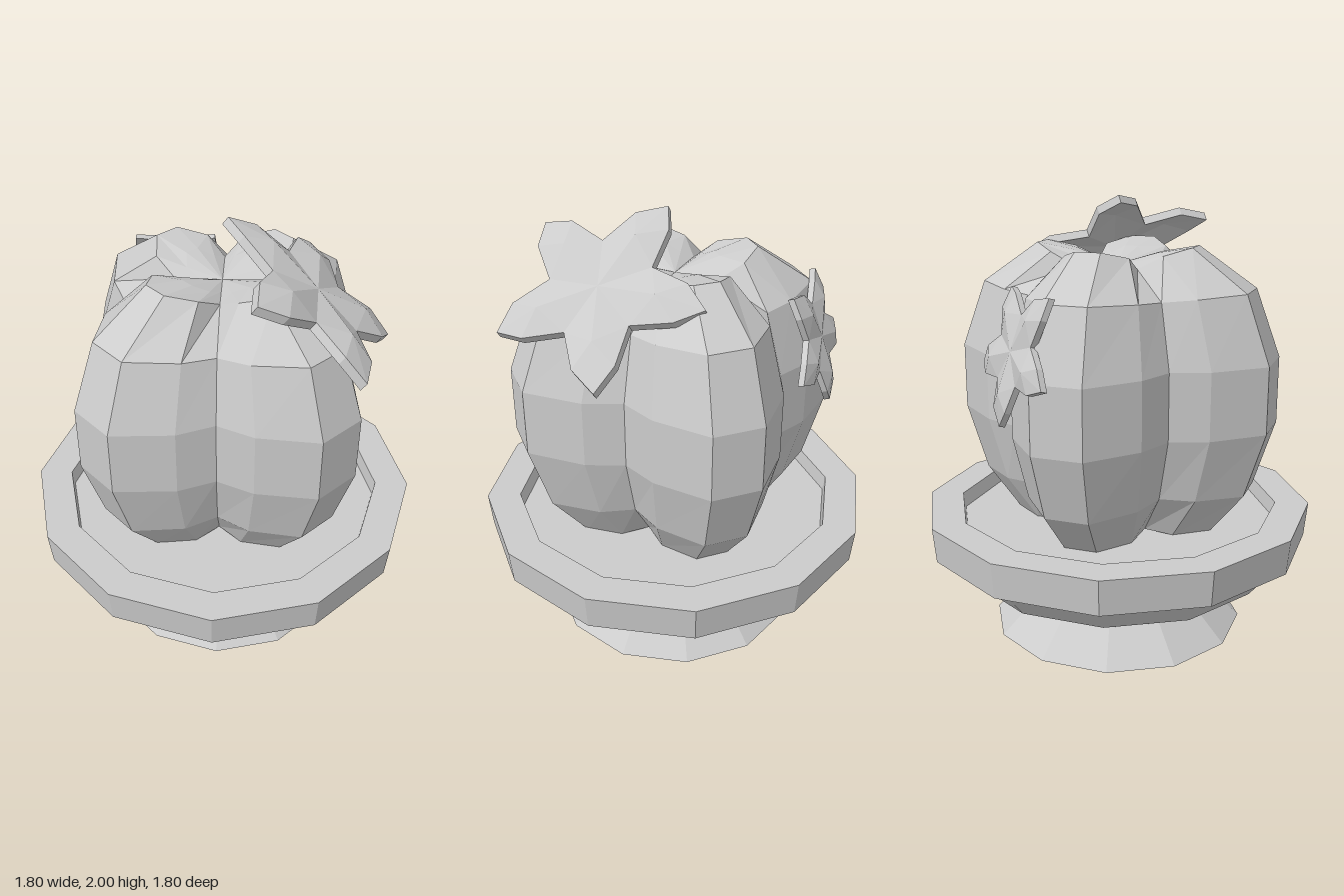
import * as THREE from 'three';

const material = new THREE.MeshStandardMaterial({ color: 0xcccccc, flatShading: true });

function flatMesh(name, geometry) {
  const g = geometry.index ? geometry.toNonIndexed() : geometry;
  g.computeVertexNormals();
  const mesh = new THREE.Mesh(g, material);
  mesh.name = name;
  return mesh;
}

function fromTriangles(points) {
  return new THREE.BufferGeometry().setFromPoints(points);
}

// Twelve-sided pot with flared foot, bowl and overhanging rim
function createPot() {
  const profile = [
    [0, 0], [0.59, 0], [0.44, 0.14], [0.71, 0.285], [0.83, 0.43], [0.885, 0.43],
    [0.9, 0.59], [0.745, 0.59], [0.735, 0.52], [0, 0.52],
  ].map(([r, y]) => new THREE.Vector2(r, y));
  return flatMesh('pot', new THREE.LatheGeometry(profile, 12));
}

// Four-lobed cactus body lofted from scaled cross-sections
function createBody() {
  const quarter = [[0.5, 0], [0.57, 0.16], [0.59, 0.43], [0.43, 0.59], [0.16, 0.57]];
  // height, scale, groove scale, groove height offset, lobe edge height offset
  const rows = [
    [0.5, 0, 0, 0, 0],
    [0.5, 0.64, 0.58, 0.04, 0.02],
    [0.71, 0.87, 0.85, 0.02, 0.01],
    [1.01, 1, 1, 0, 0],
    [1.31, 1, 1, 0, 0],
    [1.61, 0.85, 0.85, -0.02, -0.01],
    [1.79, 0.5, 0.4, -0.09, -0.03],
    [1.76, 0.27, 0.2, -0.06, -0.03],
    [1.7, 0, 0, 0, 0],
  ];
  const rings = rows.map(([y, scale, grooveScale, grooveY, edgeY]) => {
    const ring = [];
    for (let q = 0; q < 4; q++) {
      quarter.forEach(([x, z], i) => {
        const s = i === 0 ? grooveScale : scale;
        const dy = i === 0 ? grooveY : i === 1 || i === 4 ? edgeY : 0;
        ring.push(new THREE.Vector3(x * s, y + dy, z * s)
          .applyAxisAngle(new THREE.Vector3(0, 1, 0), -q * Math.PI / 2));
      });
    }
    return ring;
  });
  const tris = [];
  for (let i = 0; i < rings.length - 1; i++) {
    for (let j = 0; j < 20; j++) {
      const k = (j + 1) % 20;
      const a = rings[i][j], b = rings[i + 1][j], c = rings[i + 1][k], d = rings[i][k];
      if (i < rings.length - 2) tris.push(a, b, d);
      else tris.push(a, b, d);
      if (i > 0 && i < rings.length - 2) tris.push(b, c, d);
      else if (i === 0) tris.push(b, c, d);
    }
  }
  return flatMesh('cactusBody', fromTriangles(tris));
}

// Five-petal flower facing local +z, first petal along +y
function flowerGeometry(thickness) {
  const polar = (r, deg, h) => {
    const a = THREE.MathUtils.degToRad(deg);
    return new THREE.Vector3(r * Math.cos(a), r * Math.sin(a), h);
  };
  const under = (p) => new THREE.Vector3(p.x, p.y, p.z - thickness);
  const tris = [];
  const cap = (a, b, c) => tris.push(a, b, c, under(a), under(c), under(b));
  const centre = new THREE.Vector3(0, 0, 0.04);
  for (let i = 0; i < 5; i++) {
    const deg = 90 + i * 72;
    const ridge = polar(0.26, deg, 0.06);
    const edge = [
      polar(0.23, deg - 36, 0.02), polar(0.37, deg - 14, 0.025), polar(0.46, deg, 0),
      polar(0.37, deg + 14, 0.025), polar(0.23, deg + 36, 0.02),
    ];
    cap(centre, edge[0], ridge);
    cap(centre, ridge, edge[4]);
    for (let j = 0; j < 4; j++) {
      const a = edge[j], b = edge[j + 1];
      cap(ridge, a, b);
      tris.push(a, under(a), b, b, under(a), under(b));
    }
  }
  return fromTriangles(tris);
}

// Places a flower by centre, facing direction and direction of its first petal
function createFlower(name, centre, normal, petal, scale) {
  const mesh = flatMesh(name, flowerGeometry(0.04));
  const z = new THREE.Vector3(...normal).normalize();
  const y = new THREE.Vector3(...petal).projectOnPlane(z).normalize();
  const x = new THREE.Vector3().crossVectors(y, z);
  mesh.quaternion.setFromRotationMatrix(new THREE.Matrix4().makeBasis(x, y, z));
  mesh.position.set(...centre);
  mesh.scale.setScalar(scale);
  return mesh;
}

export function createModel() {
  const model = new THREE.Group();
  model.name = 'pottedCactus';
  model.add(
    createPot(),
    createBody(),
    createFlower('topFlower', [0.37, 1.73, 0.16], [0.61, 0.79, 0], [0, 0, -1], 1),
    createFlower('backFlower', [-0.25, 1.4, -0.575], [-0.06, 0.27, -0.96], [0, -1, 0], 0.68),
  );
  return model;
}
